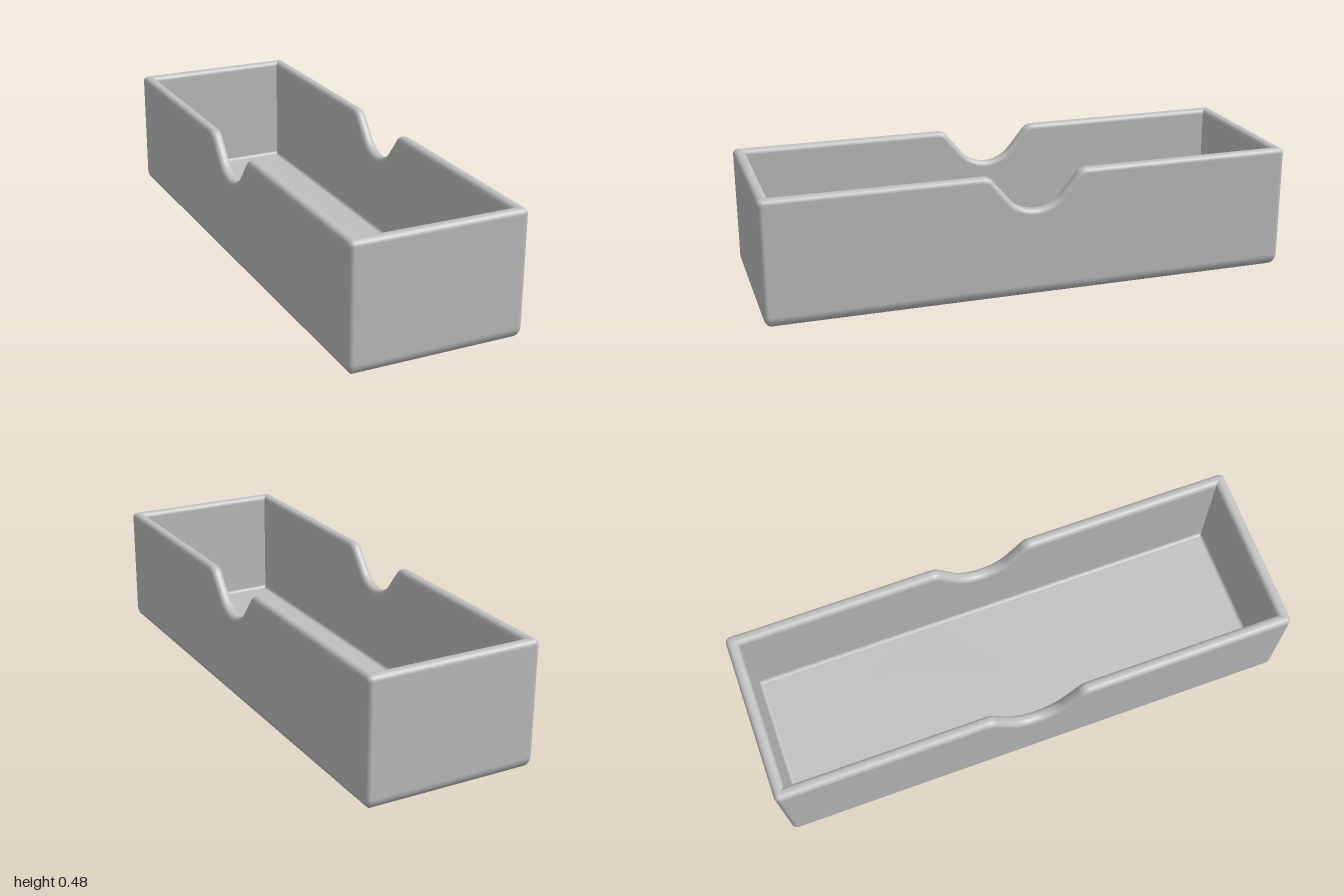
import * as THREE from 'three';

const HX = 0.33, HZ = 1, TOP = 0.48;    // outer half sizes and rim height
const WALL = 0.045, FLOOR = 0.045;      // wall and floor thickness
const R_EDGE = 0.02, R_BASE = 0.05, R_IN = 0.014;

// Finger notch outline along z: each sample holds the rim point and its normal
function rimSamples() {
  const R = 0.13, lip = 0.05, low = 0.342, A = THREE.MathUtils.degToRad(50);
  const half = [];
  for (let i = 0; i <= 12; i++) {       // rounded bottom
    const a = A * i / 12;
    half.push({ z: R * Math.sin(a), y: low + R * (1 - Math.cos(a)), nz: -Math.sin(a), ny: Math.cos(a) });
  }
  for (let i = 0; i <= 10; i++) {       // rounded lip
    const a = A * (1 - i / 10);
    half.push({ z: 0.198 - lip * Math.sin(a), y: TOP - lip * (1 - Math.cos(a)), nz: -Math.sin(a), ny: Math.cos(a) });
  }
  const mirrored = half.slice(1).reverse().map(s => ({ ...s, z: -s.z, nz: -s.nz }));
  return [...mirrored, ...half];
}

// Stations around the tray: two notched long sides and four rounded corners
function perimeter() {
  const list = [], samples = rimSamples();
  const corner = (sx, sz, start) => {
    for (let i = 0; i <= 8; i++) {
      const a = start + Math.PI / 2 * i / 8;
      list.push({ sx, sz, c: Math.cos(a), s: Math.sin(a), y: TOP, ny: 1, nz: 0 });
    }
  };
  for (const p of samples) list.push({ sx: 1, ...p });
  corner(1, 1, 0);
  corner(-1, 1, Math.PI / 2);
  for (const p of [...samples].reverse()) list.push({ sx: -1, ...p });
  corner(-1, -1, Math.PI);
  corner(1, -1, Math.PI * 1.5);
  return list;
}

// Wall section from underside to inner floor: inset, with a height or a drop below the rim
function wallProfile() {
  const rows = [], N = 8;
  const arc = fn => {
    for (let i = 0; i <= N; i++) {
      const a = Math.PI / 2 * i / N;
      rows.push(fn(Math.sin(a), Math.cos(a)));
    }
  };
  arc((s, c) => ({ d: R_BASE * (1 - s), y: R_BASE * (1 - c) }));
  arc((s, c) => ({ d: R_EDGE * (1 - c), drop: R_EDGE * (1 - s) }));
  arc((s, c) => ({ d: WALL - R_EDGE * (1 - s), drop: R_EDGE * (1 - c) }));
  arc((s, c) => ({ d: WALL + R_IN * (1 - c), y: FLOOR + R_IN * (1 - s) }));
  return rows;
}

function trayGeometry() {
  const ring = perimeter(), rows = wallProfile(), n = ring.length;
  const pos = [], index = [];
  for (const { d, y, drop } of rows) {
    const r = Math.max(R_EDGE - d, 0);
    for (const p of ring) {
      let x = p.sx * (HX - d), z = p.z;
      if (p.sz) {
        x = p.sx * (HX - d - r) + r * p.c;
        z = p.sz * (HZ - d - r) + r * p.s;
      }
      if (drop === undefined) pos.push(x, y, z);
      else pos.push(x, p.y - p.ny * drop, z - p.nz * drop);
    }
  }
  for (let i = 0; i < rows.length - 1; i++) {
    for (let j = 0; j < n; j++) {
      const k = (j + 1) % n, a = i * n + j, b = i * n + k;
      index.push(a, a + n, b, b, a + n, b + n);
    }
  }
  // Close the underside and the inner floor
  const under = pos.length / 3, floor = under + 1, last = (rows.length - 1) * n;
  pos.push(0, 0, 0, 0, FLOOR, 0);
  for (let j = 0; j < n; j++) {
    const k = (j + 1) % n;
    index.push(under, j, k, last + j, floor, last + k);
  }
  const geo = new THREE.BufferGeometry();
  geo.setAttribute('position', new THREE.Float32BufferAttribute(pos, 3));
  geo.setIndex(index);
  geo.computeVertexNormals();
  return geo;
}

export function createModel() {
  const group = new THREE.Group();
  group.name = 'openTray';
  const grey = new THREE.MeshStandardMaterial({ color: 0xbfbfbf });
  grey.name = 'light grey';
  const tray = new THREE.Mesh(trayGeometry(), grey);
  tray.name = 'trayBody';
  group.add(tray);
  return group;
}
